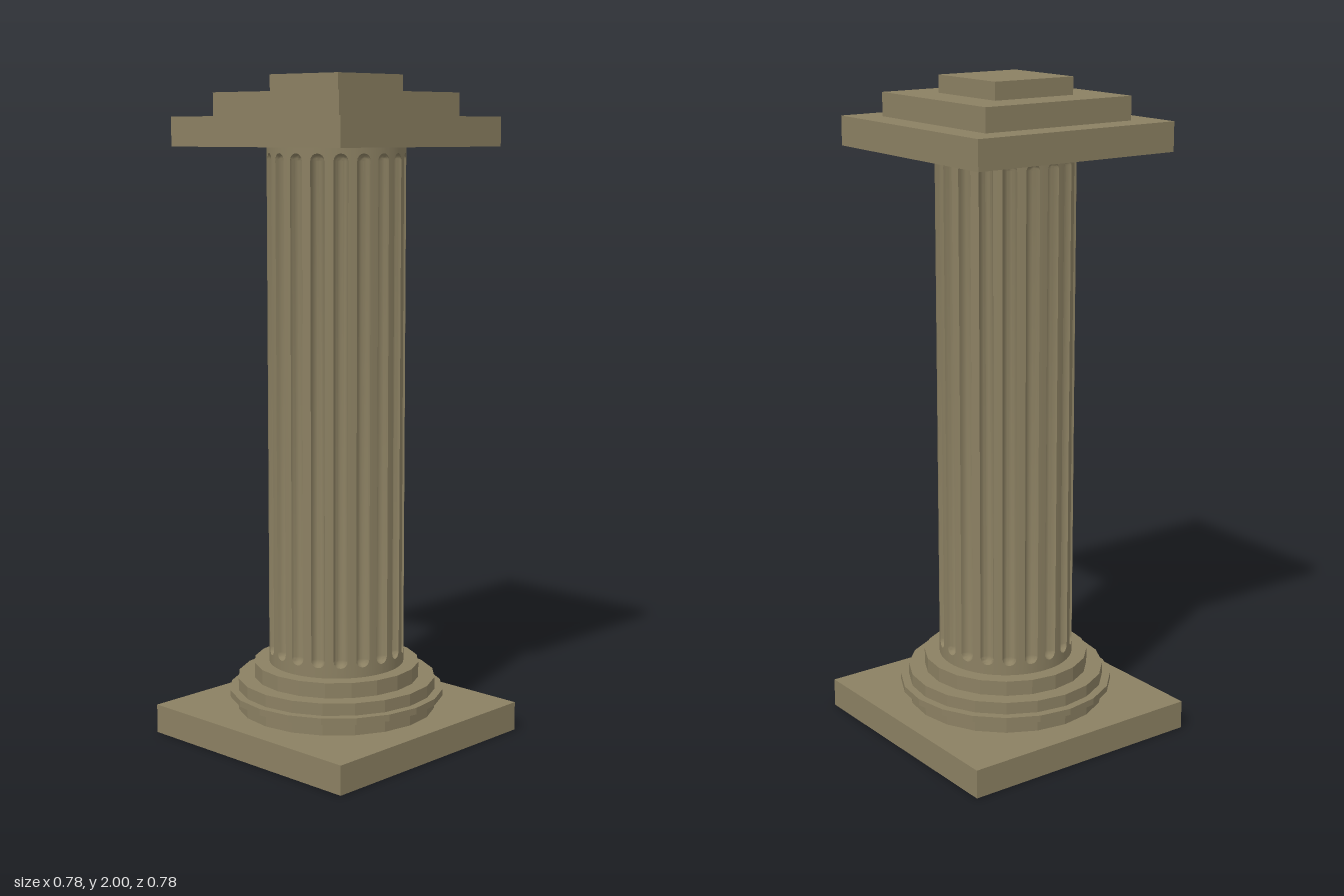
import * as THREE from 'three';
import { toCreasedNormals } from 'three/addons/utils/BufferGeometryUtils.js';

const stone = new THREE.MeshStandardMaterial({ color: 0x8b8062 });
const facetedStone = new THREE.MeshStandardMaterial({ color: 0x8b8062, flatShading: true });

const FLUTES = 19;
const SHAFT_RADIUS = 0.206;
const SHAFT_BOTTOM = 0.225, SHAFT_TOP = 1.795;
const FLUTE_RADIUS = 0.021;
const FLUTE_BOTTOM = 0.282, FLUTE_TOP = 1.752; // centres of the rounded flute ends

function add(group, name, geometry, y0, y1, material) {
  const mesh = new THREE.Mesh(geometry, material);
  mesh.name = name;
  mesh.position.y = (y0 + y1) / 2;
  group.add(mesh);
}

// Square slab between two heights
function slab(group, name, half, y0, y1) {
  add(group, name, new THREE.BoxGeometry(half * 2, y1 - y0, half * 2), y0, y1, stone);
}

// Faceted round moulding between two heights
function ring(group, name, radius, y0, y1) {
  add(group, name, new THREE.CylinderGeometry(radius, radius, y1 - y0, 20), y0, y1, facetedStone);
}

// Shaft with semicircular flutes that end in quarter spheres
function flutedShaft() {
  const across = 8, endSteps = 4;
  const bay = (Math.PI * 2) / FLUTES;
  const positions = [], indices = [];
  let rows = 0, columns = 0;

  // One vertical line of points at a given angle; s is the half-width of the flute there
  function column(angle, s) {
    const points = [[SHAFT_BOTTOM, 0]];
    for (let i = 0; i <= endSteps; i++) {
      const phi = (i / endSteps) * Math.PI / 2;
      points.push([FLUTE_BOTTOM - s * Math.cos(phi), s * Math.sin(phi)]);
    }
    for (let i = endSteps; i >= 0; i--) {
      const phi = (i / endSteps) * Math.PI / 2;
      points.push([FLUTE_TOP + s * Math.cos(phi), s * Math.sin(phi)]);
    }
    points.push([SHAFT_TOP, 0]);
    for (const [y, depth] of points) {
      const r = SHAFT_RADIUS - depth;
      positions.push(Math.sin(angle) * r, y, Math.cos(angle) * r);
    }
    rows = points.length;
    columns++;
  }

  for (let f = 0; f < FLUTES; f++) {
    column(f * bay, 0);
    for (let j = 0; j <= across; j++) {
      const t = (j / across - 0.5) * Math.PI;
      const offset = FLUTE_RADIUS * Math.sin(t) / SHAFT_RADIUS;
      column((f + 0.5) * bay + offset, FLUTE_RADIUS * Math.cos(t));
    }
  }
  for (let c = 0; c < columns; c++) {
    for (let i = 0; i < rows - 1; i++) {
      const a = c * rows + i;
      const b = ((c + 1) % columns) * rows + i;
      indices.push(a, b, b + 1, a, b + 1, a + 1);
    }
  }
  const geometry = new THREE.BufferGeometry();
  geometry.setAttribute('position', new THREE.Float32BufferAttribute(positions, 3));
  geometry.setIndex(indices);
  return toCreasedNormals(geometry, 0.55);
}

export function createModel() {
  const model = new THREE.Group();
  model.name = 'column';

  // Base
  const base = new THREE.Group();
  base.name = 'base';
  slab(base, 'plinth', 0.391, 0, 0.088);
  ring(base, 'lowerMoulding', 0.303, 0.088, 0.128);
  ring(base, 'rimMoulding', 0.328, 0.128, 0.148);
  ring(base, 'middleMoulding', 0.303, 0.148, 0.185);
  ring(base, 'upperMoulding', 0.253, 0.185, 0.231);

  // Shaft
  const shaft = new THREE.Mesh(flutedShaft(), stone);
  shaft.name = 'flutedShaft';

  // Stepped capital
  const capital = new THREE.Group();
  capital.name = 'capital';
  slab(capital, 'lowerStep', 0.343, 1.791, 1.878);
  slab(capital, 'middleStep', 0.256, 1.878, 1.948);
  slab(capital, 'topStep', 0.138, 1.948, 2);

  model.add(base, shaft, capital);
  return model;
}
